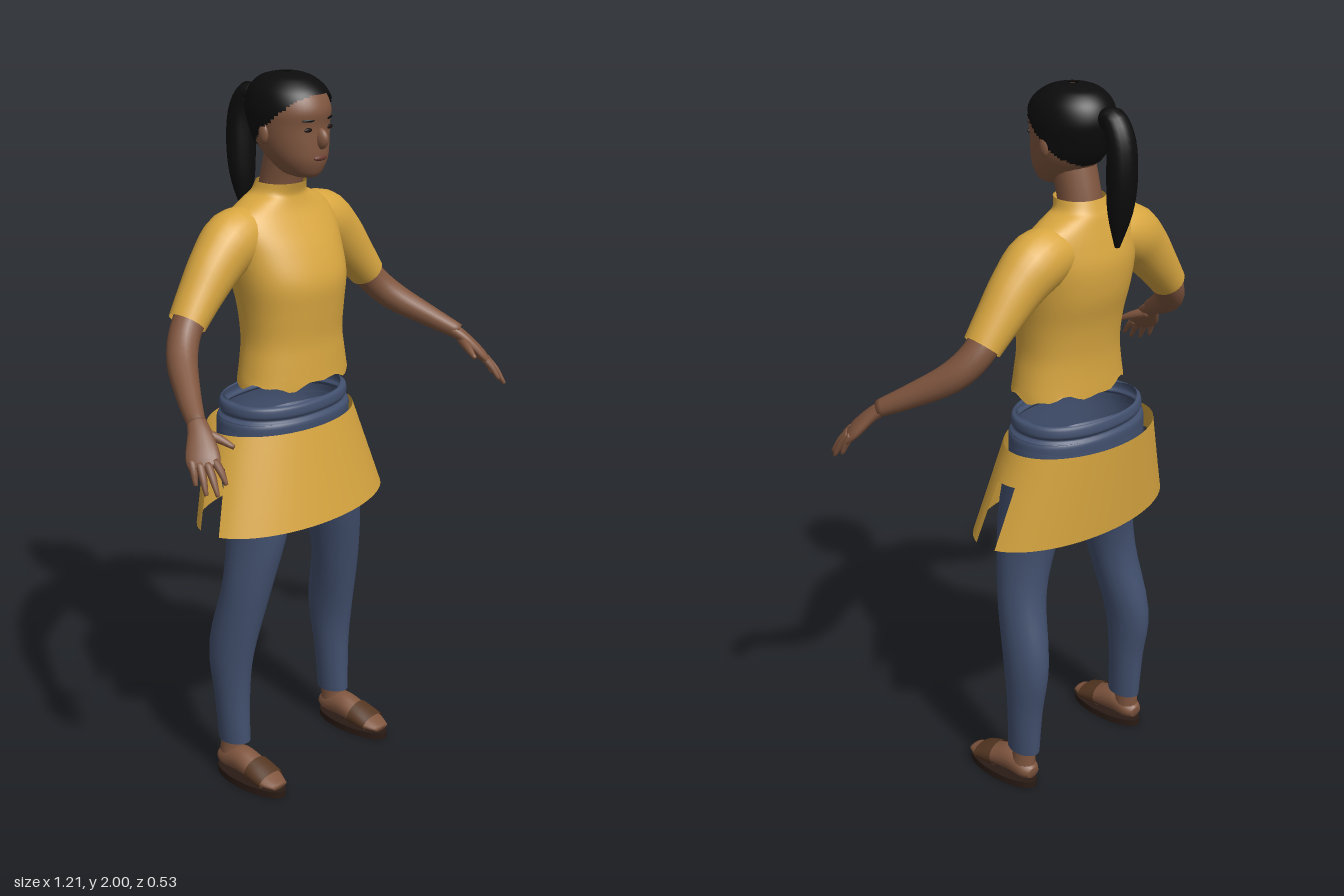
import * as THREE from 'three';

const mat = (name, color, side = THREE.FrontSide) => {
  const m = new THREE.MeshStandardMaterial({ color, side });
  m.name = name;
  return m;
};
const DS = THREE.DoubleSide;
const cloth = mat('yellow cloth', 0xd8a640, DS);
const denim = mat('blue denim', 0x42506e, DS);
const skinTone = mat('brown skin', 0x80563f);
const black = mat('black hair', 0x0c0c0c, DS);
const leather = mat('brown leather', 0x553722, DS);
const rubber = mat('dark sole', 0x2a1b15);
const lip = mat('lip', 0x6b3b32);
const eyeDark = mat('dark eye', 0x1c1210);

// Catmull-Rom interpolation of every column of a table
function spline(rows, n) {
  const out = [];
  for (let i = 0; i < rows.length - 1; i++) {
    const a = rows[Math.max(i - 1, 0)], b = rows[i], c = rows[i + 1], d = rows[Math.min(i + 2, rows.length - 1)];
    for (let k = 0; k < n; k++) {
      const t = k / n;
      out.push(b.map((q, j) => 0.5 * (2 * q + (c[j] - a[j]) * t + (2 * a[j] - 5 * q + 4 * c[j] - d[j]) * t * t
        + (3 * q - a[j] - 3 * c[j] + d[j]) * t * t * t)));
    }
  }
  out.push(rows[rows.length - 1]);
  return out;
}

// Surface through closed rings, always facing outward
function loft(name, rings, material, { cap = true, keep } = {}) {
  const seg = rings[0].length;
  const centre = (pts) => pts.reduce((s, p) => s.add(p), new THREE.Vector3()).divideScalar(pts.length);
  if (cap) {
    const first = centre(rings[0]), last = centre(rings[rings.length - 1]);
    rings = [rings[0].map(() => first), ...rings, rings[0].map(() => last)];
  }
  const pts = rings.flat(), mid = centre(pts);
  let volume = 0;
  const index = [];
  for (let i = 0; i < rings.length - 1; i++) for (let j = 0; j < seg; j++) {
    const a = i * seg + j, b = i * seg + (j + 1) % seg, c = a + seg, d = b + seg;
    for (const tri of [[a, b, d], [a, d, c]]) {
      const [p, q, r] = tri.map((k) => pts[k].clone().sub(mid));
      volume += p.dot(q.cross(r));
    }
    if (!keep || keep(centre([pts[a], pts[b], pts[c], pts[d]]), j)) index.push(a, b, d, a, d, c);
  }
  if (volume < 0) for (let k = 0; k < index.length; k += 3) [index[k], index[k + 1]] = [index[k + 1], index[k]];
  const g = new THREE.BufferGeometry().setFromPoints(pts);
  g.setIndex(index);
  g.computeVertexNormals();
  const mesh = new THREE.Mesh(g, material);
  mesh.name = name;
  return mesh;
}

// Level rings: rows of [y, halfWidth, zFront, zBack]
function stack(name, rows, material, { steps = 4, seg = 48, power = 2, hem, ...opts } = {}) {
  const bend = (v) => Math.sign(v) * Math.abs(v) ** (2 / power);
  const rings = spline(rows, steps).map(([y, rx, zf, zb], i) => Array.from({ length: seg }, (_, j) => {
    const t = j / seg * Math.PI * 2;
    return new THREE.Vector3(rx * bend(Math.cos(t)), y + (hem && i === 0 ? hem(t) : 0),
      (zf + zb) / 2 + (zf - zb) / 2 * bend(Math.sin(t)));
  }));
  return loft(name, rings, material, opts);
}

// Rings across a path: rows of [x, y, z, radius across ref, radius along ref]
function limb(name, rows, material, { steps = 4, seg = 16, ref = [0, 0, 1], side = 1, ...opts } = {}) {
  const path = spline(rows.map(([x, ...r]) => [x * side, ...r]), steps);
  const at = (i) => new THREE.Vector3(...path[Math.min(Math.max(i, 0), path.length - 1)].slice(0, 3));
  const axis = new THREE.Vector3(ref[0] * side, ref[1], ref[2]);
  const rings = path.map((p, i) => {
    const dir = at(i + 1).sub(at(i - 1)).normalize();
    const u = dir.clone().cross(axis).normalize(), v = u.clone().cross(dir);
    return Array.from({ length: seg }, (_, j) => {
      const t = j / seg * Math.PI * 2;
      return at(i).addScaledVector(u, p[3] * Math.cos(t)).addScaledVector(v, p[4] * Math.sin(t));
    });
  });
  return loft(name, rings, material, opts);
}

function blob(name, material, pos, scale) {
  const m = new THREE.Mesh(new THREE.SphereGeometry(1, 16, 12), material);
  m.name = name;
  m.position.set(...pos);
  m.scale.set(...scale);
  return m;
}

function makeHead() {
  const head = new THREE.Group();
  head.name = 'head';
  const rows = [[1.735, 0.03, 0.045, -0.02], [1.747, 0.052, 0.056, -0.06], [1.78, 0.075, 0.068, -0.1],
    [1.82, 0.09, 0.069, -0.135], [1.87, 0.098, 0.068, -0.155], [1.91, 0.1, 0.073, -0.163],
    [1.95, 0.088, 0.055, -0.152], [1.978, 0.062, 0.02, -0.125], [1.99, 0.034, -0.015, -0.09], [1.994, 0.005, -0.045, -0.06]];
  head.add(stack('face', rows, skinTone));
  // hair shell, cut along a sloping hairline
  head.add(stack('hair', rows.map(([y, r, f, b]) => [y + 0.006, r + 0.007, f + 0.006, b - 0.008]), black,
    { seg: 72, steps: 8, cap: false, keep: (c) => c.y > 1.9 + 0.85 * c.z }));
  head.add(limb('ponytail', [[0, 1.915, -0.15, 0.025, 0.025], [0, 1.93, -0.19, 0.03, 0.034], [0, 1.875, -0.218, 0.036, 0.04],
    [0, 1.78, -0.223, 0.038, 0.042], [0, 1.69, -0.218, 0.03, 0.034], [0, 1.6, -0.21, 0.006, 0.008]], black, { ref: [1, 0, 0] }));
  head.add(limb('neck', [[0, 1.65, -0.085, 0.062, 0.06], [0, 1.72, -0.073, 0.058, 0.058], [0, 1.8, -0.05, 0.06, 0.06]], skinTone));
  head.add(blob('nose', skinTone, [0, 1.838, 0.066], [0.015, 0.028, 0.025]));
  head.add(blob('mouth', lip, [0, 1.788, 0.065], [0.024, 0.008, 0.008]));
  for (const s of [1, -1]) {
    head.add(blob('eye', eyeDark, [s * 0.039, 1.864, 0.059], [0.015, 0.006, 0.005]));
    const brow = blob('eyebrow', black, [s * 0.04, 1.888, 0.06], [0.019, 0.004, 0.004]);
    brow.rotation.y = s * 0.35;
    head.add(brow, blob('ear', skinTone, [s * 0.098, 1.85, -0.045], [0.01, 0.026, 0.016]));
  }
  return head;
}

function makeArm(side) {
  const arm = new THREE.Group();
  arm.name = side > 0 ? 'leftArm' : 'rightArm';
  const add = (name, rows, m, o = {}) => arm.add(limb(name, rows, m, { side, ...o }));
  add('sleeve', [[0.08, 1.59, -0.09, 0.065, 0.07], [0.17, 1.573, -0.09, 0.083, 0.078], [0.24, 1.52, -0.086, 0.074, 0.068],
    [0.3, 1.455, -0.082, 0.061, 0.06], [0.355, 1.39, -0.077, 0.05, 0.053]], cloth, { cap: false, seg: 24 });
  add('forearm', [[0.3, 1.455, -0.082, 0.045, 0.045], [0.365, 1.375, -0.072, 0.042, 0.043], [0.42, 1.312, -0.03, 0.04, 0.041],
    [0.485, 1.252, 0.06, 0.03, 0.032], [0.528, 1.212, 0.13, 0.022, 0.024]], skinTone);
  add('palm', [[0.515, 1.222, 0.11, 0.02, 0.022], [0.535, 1.195, 0.147, 0.017, 0.03], [0.562, 1.15, 0.185, 0.016, 0.043],
    [0.575, 1.125, 0.205, 0.01, 0.038]], skinTone, { ref: [0.6, 0, -0.75] });
  const fingers = [[[0.55, 1.14, 0.215], [0.555, 1.09, 0.26]], [[0.567, 1.135, 0.207], [0.585, 1.068, 0.26]],
    [[0.58, 1.135, 0.193], [0.6, 1.068, 0.235]], [[0.588, 1.14, 0.175], [0.602, 1.085, 0.2]]];
  for (const [a, b] of fingers) {
    const mid = a.map((q, k) => (q + b[k]) / 2 + (k === 1 ? 0.006 : 0));
    add('finger', [[...a, 0.011, 0.011], [...mid, 0.01, 0.01], [...b, 0.005, 0.005]], skinTone, { seg: 8, steps: 3 });
  }
  add('thumb', [[0.528, 1.192, 0.145, 0.016, 0.016], [0.505, 1.178, 0.185, 0.012, 0.012], [0.489, 1.16, 0.222, 0.006, 0.006]],
    skinTone, { seg: 8, ref: [0, 1, 0] });
  return arm;
}

function makeLeg(side) {
  const leg = new THREE.Group();
  leg.name = side > 0 ? 'leftLeg' : 'rightLeg';
  const add = (name, rows, m, o = {}) => leg.add(limb(name, rows, m, { side, ...o }));
  add('trouserLeg', [[0.125, 0.95, -0.06, 0.09, 0.115], [0.148, 0.795, -0.03, 0.074, 0.1], [0.185, 0.6, -0.038, 0.066, 0.073],
    [0.21, 0.4, -0.078, 0.055, 0.073], [0.213, 0.25, -0.075, 0.046, 0.056], [0.213, 0.11, -0.068, 0.038, 0.052]], denim,
  { seg: 24, cap: false });
  add('ankle', [[0.216, 0.16, -0.072, 0.03, 0.038], [0.218, 0.1, -0.074, 0.029, 0.037], [0.22, 0.045, -0.07, 0.034, 0.04]], skinTone);
  const up = { ref: [0, 1, 0] };
  add('foot', [[0.22, 0.045, -0.114, 0.02, 0.018], [0.22, 0.05, -0.09, 0.034, 0.029], [0.22, 0.06, -0.035, 0.037, 0.039],
    [0.221, 0.05, 0.025, 0.041, 0.03], [0.223, 0.038, 0.08, 0.043, 0.018], [0.223, 0.031, 0.122, 0.026, 0.01]], skinTone, up);
  add('sandalStrap', [[0.221, 0.05, 0.022, 0.046, 0.036], [0.222, 0.045, 0.05, 0.047, 0.031], [0.223, 0.038, 0.085, 0.047, 0.023]],
    leather, { ...up, cap: false, seg: 24 });
  // sandal sole
  const shape = new THREE.Shape();
  shape.absellipse(side * 0.222, -0.0075, 0.05, 0.1275, 0, Math.PI * 2);
  const g = new THREE.ExtrudeGeometry(shape, { depth: 0.02, bevelEnabled: false, curveSegments: 24 });
  g.rotateX(-Math.PI / 2);
  const sole = new THREE.Mesh(g, rubber);
  sole.name = 'sandalSole';
  leg.add(sole);
  return leg;
}

export function createModel() {
  const model = new THREE.Group();
  model.name = 'woman';
  model.add(makeHead());

  // shirt with a slightly uneven hem
  model.add(stack('shirt', [[1.18, 0.178, 0.08, -0.15], [1.24, 0.166, 0.077, -0.148], [1.3, 0.157, 0.075, -0.15],
    [1.38, 0.161, 0.082, -0.162], [1.46, 0.172, 0.085, -0.182], [1.54, 0.18, 0.055, -0.188], [1.6, 0.185, 0.02, -0.176],
    [1.64, 0.165, -0.005, -0.165], [1.668, 0.115, -0.016, -0.157], [1.685, 0.08, -0.018, -0.15], [1.712, 0.068, -0.01, -0.14]],
  cloth, { power: 2.2, cap: false, hem: (t) => 0.008 * Math.sin(5 * t) + 0.005 * Math.sin(11 * t) }));

  // trouser seat with a folded waistband, open at the top
  model.add(stack('trouserSeat', [[0.83, 0.06, 0.0, -0.1], [0.86, 0.165, 0.05, -0.16], [0.93, 0.212, 0.068, -0.2],
    [1.03, 0.215, 0.07, -0.212], [1.08, 0.208, 0.07, -0.21]], denim, { power: 2.2, cap: false }));
  model.add(stack('waistband', [[1.128, 0.186, 0.055, -0.2], [1.122, 0.2, 0.068, -0.208], [1.1, 0.203, 0.07, -0.211],
    [1.088, 0.196, 0.064, -0.204], [1.075, 0.21, 0.074, -0.213], [1.05, 0.213, 0.073, -0.213]], denim,
  { power: 2.2, cap: false, hem: (t) => 0.005 * Math.sin(4 * t) }));

  // flared skirt with a slit in each side
  const flare = (y) => {
    const k = (1.055 - y) / 0.26;
    return [y, 0.245 + 0.085 * k, 0.08 + 0.057 * k, -0.24 + 0.02 * k];
  };
  model.add(stack('skirt', [1.055, 1.01, 0.97, 0.91, 0.85, 0.795].map(flare), cloth,
    { steps: 1, seg: 64, cap: false, keep: (c, j) => c.y > 0.97 || ((j + 2) % 32) > 3 }));

  for (const side of [1, -1]) model.add(makeArm(side), makeLeg(side));
  return model;
}
